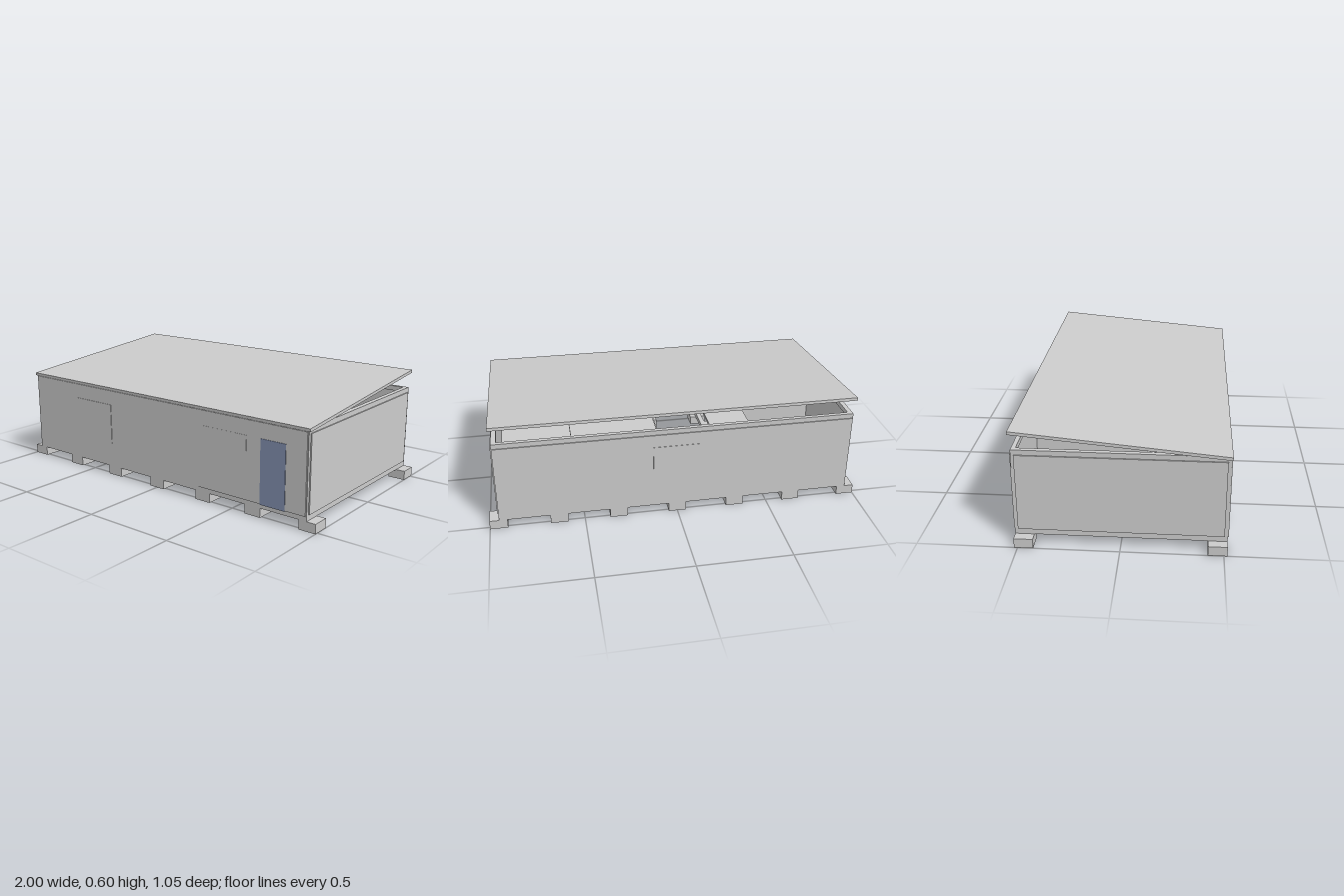
import * as THREE from 'three';

const grey = new THREE.MeshStandardMaterial({ color: 0xcccccc });
const blue = new THREE.MeshStandardMaterial({ color: 0x8492b3 });

export function createModel() {
  const house = new THREE.Group();
  house.name = 'modularCabin';

  // Box given by its min and max on each axis
  function box(name, [x0, x1], [y0, y1], [z0, z1], material = grey) {
    const mesh = new THREE.Mesh(new THREE.BoxGeometry(x1 - x0, y1 - y0, z1 - z0), material);
    mesh.position.set((x0 + x1) / 2, (y0 + y1) / 2, (z0 + z1) / 2);
    mesh.name = name;
    house.add(mesh);
    return mesh;
  }

  // Footing blocks in two rows
  for (let i = 0; i < 7; i++) {
    const x = -0.953 + i * 0.3177;
    for (const z of [-0.47, 0.47]) {
      box('footing', [x - 0.047, x + 0.047], [0, 0.05], [z - 0.047, z + 0.047]);
    }
  }

  // Long rails, corner posts and end rails of the frame
  for (const s of [-1, 1]) {
    const z = s > 0 ? [0.495, 0.517] : [-0.517, -0.495];
    const x = s > 0 ? [0.925, 0.95] : [-0.95, -0.925];
    box('bottomRail', [-0.95, 0.95], [0.05, 0.08], z);
    box('topRail', [-0.95, 0.95], [0.48, 0.506], z);
    box('bottomEndRail', x, [0.05, 0.08], [-0.517, 0.517]);
    box('topEndRail', x, [0.48, 0.506], [-0.517, 0.517]);
    for (const c of [z, s > 0 ? [-0.517, -0.495] : [0.495, 0.517]]) {
      box('cornerPost', x, [0.08, 0.48], c);
    }
    // End wall panel
    box('endWall', s > 0 ? [0.935, 0.956] : [-0.956, -0.935], [0.08, 0.48], [-0.502, 0.502]);
    // Beam between neighbouring modules
    box('crossBeam', [s * 0.318 - 0.014, s * 0.318 + 0.014], [0.05, 0.08], [-0.5, 0.5]);
  }

  // Long walls
  box('frontWall', [-0.945, 0.945], [0.075, 0.49], [0.505, 0.522]);
  box('backWall', [-0.945, 0.945], [0.08, 0.48], [-0.522, -0.505]);

  // Door and shallow windows
  box('door', [0.685, 0.83], [0.073, 0.41], [0.51, 0.525], blue);
  box('frontWindow', [-0.61, -0.33], [0.185, 0.41], [0.51, 0.525]);
  box('frontWindow', [0.33, 0.6], [0.185, 0.41], [0.51, 0.523]);
  box('backWindow', [-0.13, 0.13], [0.185, 0.41], [-0.524, -0.51]);

  // Partial floors
  box('floor', [0.32, 0.93], [0.065, 0.08], [-0.5, 0.5]);
  box('floor', [0.1, 0.31], [0.065, 0.08], [-0.1, 0.3]);
  box('floor', [-0.31, -0.1], [0.065, 0.08], [-0.48, 0]);
  box('floor', [-0.55, -0.33], [0.065, 0.08], [0.14, 0.3]);

  // Inner partitions
  box('partition', [0.1, 0.12], [0.08, 0.48], [-0.505, 0]);
  box('partition', [-0.39, -0.37], [0.08, 0.48], [-0.505, 0.14]);
  box('partition', [-0.935, -0.37], [0.08, 0.48], [0.12, 0.14]);

  // Ceiling panels
  box('ceiling', [0.11, 0.55], [0.485, 0.5], [-0.5, 0.5]);
  box('ceiling', [-0.38, -0.17], [0.485, 0.5], [-0.5, 0.5]);

  // Sloping roof slab, higher at the back
  const roof = new THREE.Mesh(new THREE.BoxGeometry(1.92, 0.016, 1.053), grey);
  roof.name = 'roof';
  roof.position.set(0, 0.548, -0.001);
  roof.rotation.x = 0.0916;
  house.add(roof);

  return house;
}
